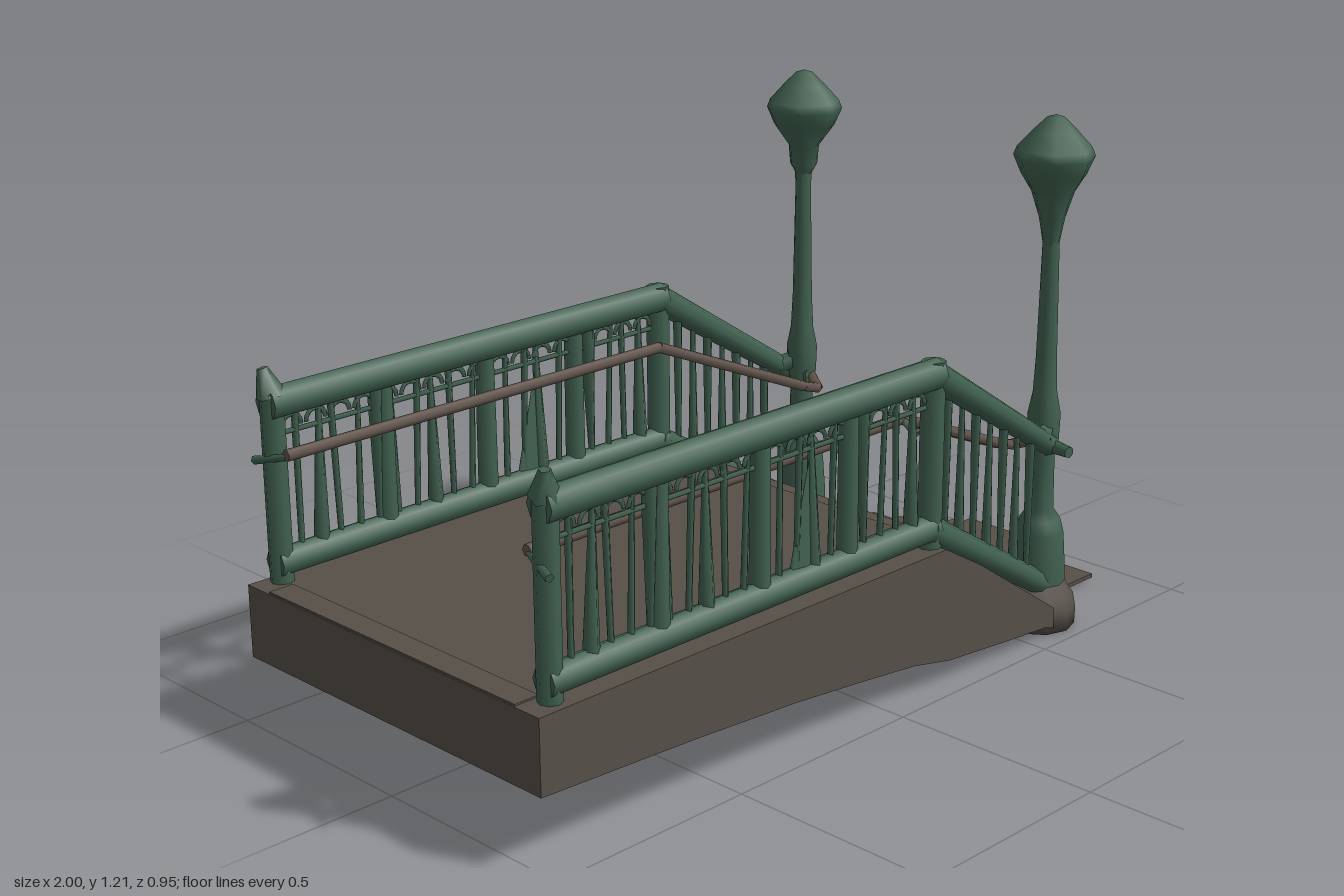
import * as THREE from 'three';

const green = new THREE.MeshStandardMaterial({ color: 0x416150 });
green.name = 'green paint';
const stone = new THREE.MeshStandardMaterial({ color: 0x565048 });
stone.name = 'stone';
const bronze = new THREE.MeshStandardMaterial({ color: 0x62544c });
bronze.name = 'handrail bronze';

function add(parent, name, geometry, material) {
  const mesh = new THREE.Mesh(geometry, material);
  mesh.name = name;
  parent.add(mesh);
  return mesh;
}

// tapered round bar between two points
function bar(parent, name, a, b, r0, r1, material, sides = 8) {
  const p = new THREE.Vector3(...a), q = new THREE.Vector3(...b);
  const dir = q.clone().sub(p);
  const mesh = add(parent, name, new THREE.CylinderGeometry(r1, r0, dir.length(), sides), material);
  mesh.position.copy(p).add(q).multiplyScalar(0.5);
  mesh.quaternion.setFromUnitVectors(new THREE.Vector3(0, 1, 0), dir.normalize());
  return mesh;
}

// side profile extruded across z
function slab(parent, name, points, z0, z1, material) {
  const shape = new THREE.Shape(points.map(p => new THREE.Vector2(...p)));
  const geo = new THREE.ExtrudeGeometry(shape, { depth: z1 - z0, bevelEnabled: false });
  geo.translate(0, 0, z0);
  return add(parent, name, geo, material);
}

function turned(parent, name, profile, sides, material) {
  return add(parent, name, new THREE.LatheGeometry(profile.map(p => new THREE.Vector2(...p)), sides), material);
}

const underside = [[0.55, 0.03], [0.42, 0.04], [0.2, 0.06], [0.08, 0.085], [-0.1, 0.105],
  [-0.3, 0.125], [-0.6, 0.145], [-1, 0.165]];

function railing(side) {
  const g = new THREE.Group();
  g.name = side > 0 ? 'leftRailing' : 'rightRailing';
  const z = side > 0 ? 0.42 : -0.43;

  // main rails, level and then sloping down the steps
  bar(g, 'topRail', [-0.95, 0.725, z], [0.18, 0.725, z], 0.036, 0.036, green);
  bar(g, 'bottomRail', [-0.95, 0.373, z], [0.18, 0.373, z], 0.032, 0.032, green);
  bar(g, 'slopingTopRail', [0.16, 0.73, z], [0.61, 0.45, z * 0.97], 0.034, 0.025, green);
  bar(g, 'slopingBottomRail', [0.16, 0.375, z], [0.6, 0.11, z * 0.97], 0.033, 0.028, green);

  // posts
  bar(g, 'endPost', [-0.935, 0.32, z], [-0.935, 0.75, z], 0.026, 0.026, green);
  bar(g, 'endFinial', [-0.935, 0.74, z], [-0.945, 0.8, z * 1.03], 0.034, 0.012, green, 5);
  bar(g, 'cornerPost', [0.17, 0.32, z], [0.17, 0.755, z], 0.027, 0.027, green);
  for (const x of [-0.65, -0.365, -0.1])
    bar(g, 'middlePost', [x, 0.36, z], [x, 0.72, z], 0.023, 0.021, green);

  // balusters of varying taper
  for (let i = 0; i < 20; i++) {
    const x = -0.88 + i * 0.052;
    const wide = i % 3 === 1 ? 0.019 : 0.008;
    const lean = 0.012 * Math.sin(i * 2.3);
    bar(g, 'baluster', [x, 0.38, z], [x + lean, 0.7, z], i % 2 ? wide : 0.007, i % 2 ? 0.006 : wide, green, 5);
  }
  for (let i = 0; i < 7; i++) {
    const x = 0.23 + i * 0.05;
    const drop = (x - 0.17) * 0.62;
    bar(g, 'slopeBaluster', [x, 0.37 - drop, z * 0.985], [x, 0.71 - drop, z * 0.985],
      i % 2 ? 0.013 : 0.007, i % 2 ? 0.006 : 0.012, green, 5);
  }
  // flat pointed leaf between two balusters
  const leaf = bar(g, 'leaf', [-0.235, 0.39, z], [-0.215, 0.64, z], 0.045, 0.004, green, 6);
  leaf.scale.z = 0.2;

  // scrollwork below the top rail
  bar(g, 'scrollRod', [-0.94, 0.655, z], [0.16, 0.655, z], 0.006, 0.006, green, 5);
  for (let i = 0; i < 17; i++) {
    const arc = add(g, 'scroll', new THREE.TorusGeometry(0.025, 0.006, 4, 8, Math.PI), green);
    arc.position.set(-0.89 + i * 0.063, 0.665, z);
  }

  // handrail with brackets
  const path = [[-0.945, 0.625, 0.376], [0.12, 0.625, 0.374], [0.55, 0.445, 0.308],
    [0.6, 0.43, 0.305], [0.63, 0.45, 0.36]].map(p => [p[0], p[1], p[2] * side]);
  for (let i = 0; i < path.length - 1; i++)
    bar(g, 'handrail', path[i], path[i + 1], 0.013, 0.013, bronze, 6);
  for (const x of [-0.935, -0.65, -0.365, -0.1, 0.12])
    bar(g, 'handrailBracket', [x, 0.625, 0.376 * side], [x, 0.6, z], 0.008, 0.01, green, 5);
  bar(g, 'endBracket', [-0.94, 0.62, 0.38 * side], [-0.965, 0.6, 0.462 * side], 0.008, 0.01, green, 5);
  return g;
}

function lampPost(side) {
  const g = new THREE.Group();
  g.name = side > 0 ? 'leftLampPost' : 'rightLampPost';
  turned(g, 'plinth', [[0, 0.003], [0.09, 0.003], [0.091, 0.045], [0.084, 0.08], [0.064, 0.11], [0, 0.115]], 10, stone);
  turned(g, 'shaft', [[0.064, 0.09], [0.062, 0.15], [0.056, 0.23], [0.047, 0.265], [0.03, 0.29],
    [0.028, 0.42], [0.036, 0.46], [0.038, 0.52], [0.028, 0.57], [0.024, 0.65], [0.019, 0.93], [0.022, 0.99]], 10, green);
  // the left lantern tapers straight down, the right one sits on a collar
  const neck = side > 0 ? [[0.017, 0.91], [0.03, 0.98], [0.05, 1.04]] : [[0.02, 0.96], [0.034, 0.985], [0.038, 1.03]];
  turned(g, 'lantern', [...neck, [0.076, 1.08], [0.094, 1.12],
    [0.086, 1.14], [0.05, 1.18], [0.02, 1.21], [0, 1.216]], 7, green);
  // collar joining the rails to the post
  bar(g, 'collarBracket', [0, 0.45, -0.03 * side], [-0.02, 0.45, 0.09 * side], 0.024, 0.014, green, 6);
  bar(g, 'railSocket', [0, 0.49, 0], [-0.05, 0.47, 0.035 * side], 0.026, 0.022, green, 6);
  g.position.set(0.62, 0, 0.38 * side);
  return g;
}

export function createModel() {
  const model = new THREE.Group();
  model.name = 'stairEntrance';

  // deck with a sloping front edge and steps, between the side walls
  slab(model, 'deckAndSteps', [[-1, 0.33], [0.205, 0.33], [0.225, 0.295], [0.335, 0.28], [0.34, 0.22],
    [0.345, 0.22], [0.35, 0.155], [0.46, 0.152], [0.46, 0.09], [0.595, 0.086], [0.595, 0.012],
    ...underside].reverse(), -0.36, 0.36, stone);
  for (const s of [-1, 1]) {
    slab(model, 'sideWall', [[-1, 0.33], [0.18, 0.33], [0.3, 0.26], [0.58, 0.07], [0.58, 0.02],
      ...underside].reverse(), s > 0 ? 0.36 : -0.462, s > 0 ? 0.462 : -0.36, stone);
    model.add(railing(s), lampPost(s));
  }
  // low lip across the rear of the deck
  const lip = add(model, 'rearLip', new THREE.BoxGeometry(0.06, 0.008, 0.78), stone);
  lip.position.set(-0.967, 0.33, 0);

  // paving slab with a ragged end
  const outline = [[0.43, -0.34], [0.86, -0.34], [0.86, -0.27], [0.885, -0.27], [0.885, -0.24], [0.915, -0.24],
    [0.915, -0.16], [0.965, -0.16], [0.965, -0.13], [1, -0.13], [1, 0.12], [0.89, 0.12], [0.89, 0.15],
    [0.915, 0.15], [0.915, 0.325], [0.43, 0.325]];
  const paving = new THREE.ExtrudeGeometry(
    new THREE.Shape(outline.map(([x, z]) => new THREE.Vector2(x, -z))), { depth: 0.01, bevelEnabled: false });
  paving.rotateX(-Math.PI / 2);
  paving.translate(0, 0.009, 0);
  add(model, 'paving', paving, stone);
  // footing under the lowest step
  const footing = add(model, 'footing', new THREE.BoxGeometry(0.165, 0.036, 0.665), stone);
  footing.position.set(0.5125, 0.022, -0.0075);
  return model;
}
